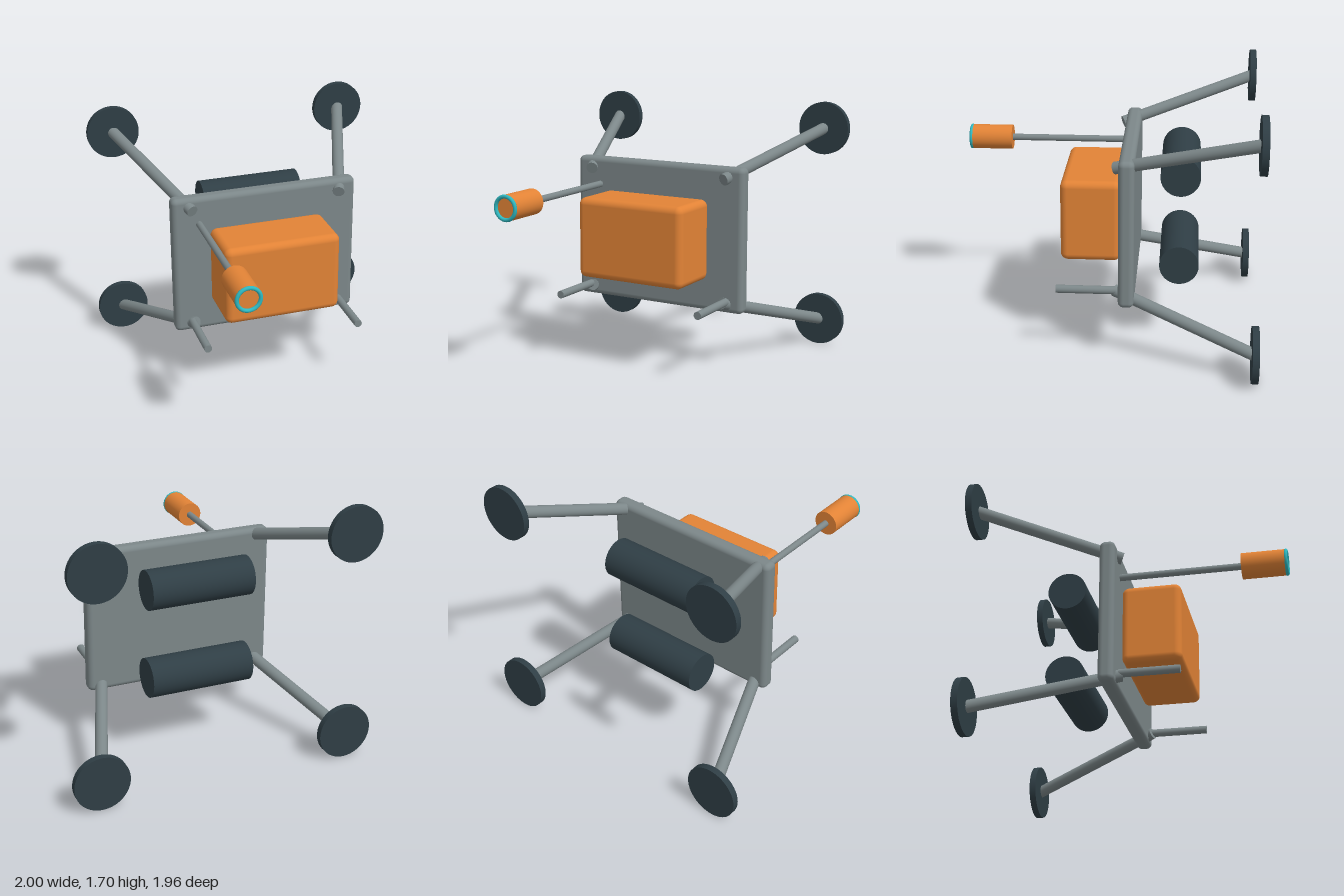
import * as THREE from 'three';
import { RoundedBoxGeometry } from 'three/addons/geometries/RoundedBoxGeometry.js';

const metal = new THREE.MeshStandardMaterial({ color: 0x7c8789 });
const dark = new THREE.MeshStandardMaterial({ color: 0x2f3e45 });
const orange = new THREE.MeshStandardMaterial({ color: 0xe28336 });
const teal = new THREE.MeshStandardMaterial({ color: 0x2fb8c0 });

export function createModel() {
  const model = new THREE.Group();
  model.name = 'surveyProbe';

  const add = (name, geometry, material, x = 0, y = 0, z = 0) => {
    const mesh = new THREE.Mesh(geometry, material);
    mesh.name = name;
    mesh.position.set(x, y, z);
    model.add(mesh);
    return mesh;
  };

  // Cylinder running between two points
  const rod = (name, from, to, radius, material, sides = 32) => {
    const a = new THREE.Vector3(...from);
    const b = new THREE.Vector3(...to);
    const dir = b.clone().sub(a);
    const mesh = add(name, new THREE.CylinderGeometry(radius, radius, dir.length(), sides), material);
    mesh.position.copy(a).add(b).multiplyScalar(0.5);
    mesh.quaternion.setFromUnitVectors(new THREE.Vector3(0, 1, 0), dir.normalize());
    return mesh;
  };

  // Main plate and instrument housing
  add('basePlate', new RoundedBoxGeometry(1.26, 0.965, 0.1, 5, 0.035), metal, 0, 0.855, -0.152);
  add('instrumentHousing', new RoundedBoxGeometry(0.774, 0.534, 0.385, 5, 0.045), orange, 0, 0.855, 0.087);

  // Splayed legs with disc feet, mirrored to the four corners
  for (const side of [-1, 1]) {
    for (const [startY, footY] of [[0.445, 0.179], [1.262, 1.524]]) {
      rod('leg', [side * 0.502, startY, -0.075], [side * 0.82, footY, -0.955], 0.039, metal);
      rod('foot', [side * 0.82, footY, -0.938], [side * 0.82, footY, -0.98], 0.178, dark, 64);
    }
    // Forward prongs at the lower corners
    rod('prong', [side * 0.52, 0.452, -0.085], [side * 0.52, 0.452, 0.296], 0.026, metal);
  }

  // Two rear tanks
  for (const y of [0.555, 1.153]) {
    rod('tank', [-0.341, y, -0.48], [0.341, y, -0.48], 0.127, dark, 64);
  }

  // Sensor on its boom
  const [sx, sy] = [-0.451, 1.153];
  rod('sensorBoom', [sx, sy, -0.1], [sx, sy, 0.72], 0.022, metal);
  rod('sensorBody', [sx, sy, 0.686], [sx, sy, 0.958], 0.083, orange, 48);
  add('lensRing', new THREE.TorusGeometry(0.073, 0.0125, 16, 64), teal, sx, sy, 0.966);

  return model;
}
